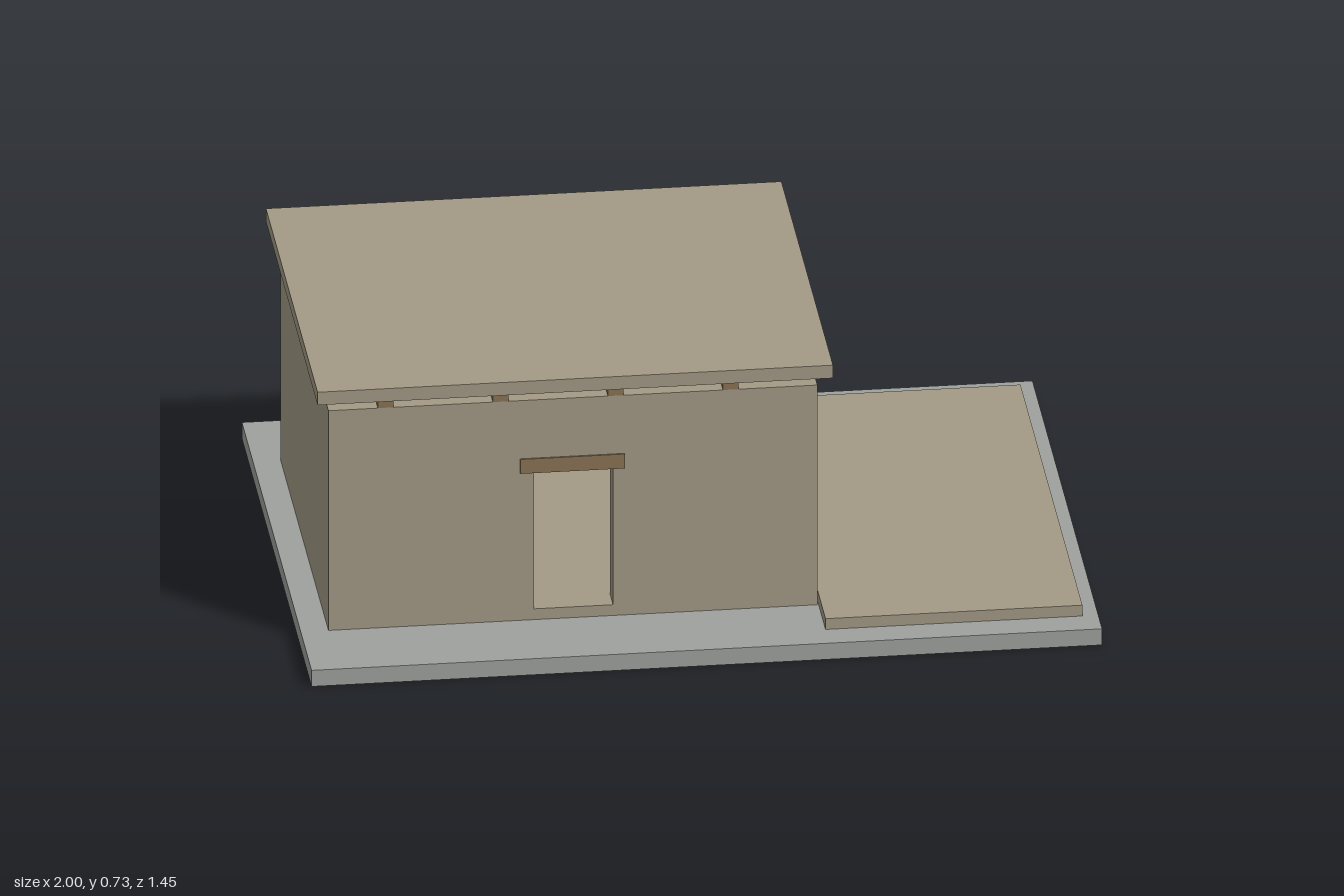
import * as THREE from 'three';

const mudbrick = new THREE.MeshStandardMaterial({ color: 0xa39a85 });
mudbrick.name = 'mudbrick';
const stone = new THREE.MeshStandardMaterial({ color: 0x9ea19d });
stone.name = 'stone';
const timber = new THREE.MeshStandardMaterial({ color: 0x8b7355 });
timber.name = 'timber';

// Box given by its minimum and maximum on each axis
function block(name, material, [x0, x1], [y0, y1], [z0, z1]) {
  const mesh = new THREE.Mesh(new THREE.BoxGeometry(x1 - x0, y1 - y0, z1 - z0), material);
  mesh.position.set((x0 + x1) / 2, (y0 + y1) / 2, (z0 + z1) / 2);
  mesh.name = name;
  return mesh;
}

export function createModel() {
  const model = new THREE.Group();
  model.name = 'mudbrickHouse';

  const left = -0.93, right = 0.307, depth = 0.5;
  const floorY = 0.075, wallTop = 0.657, beamTop = 0.692, t = 0.06;

  // Ground slabs
  model.add(block('foundation', stone, [-1, 1], [0, 0.045], [-0.725, 0.725]));
  model.add(block('courtyard', mudbrick, [0.31, 0.96], [0.045, floorY], [-0.645, 0.645]));
  model.add(block('houseFloor', mudbrick, [left, right], [0.045, floorY], [-depth, depth]));

  // Plain walls
  model.add(block('backWall', mudbrick, [left, right], [floorY, wallTop], [-depth, -depth + t]));
  for (const [name, x] of [['rightWall', left], ['leftWall', right - t]]) {
    model.add(block(name, mudbrick, [x, x + t], [floorY, wallTop], [-depth + t, depth - t]));
  }

  // Front wall, notched for the open doorway
  const doorL = -0.41, doorR = -0.21, doorTop = 0.455;
  const outline = new THREE.Shape([
    [left, floorY], [doorL, floorY], [doorL, doorTop], [doorR, doorTop],
    [doorR, floorY], [right, floorY], [right, wallTop], [left, wallTop],
  ].map(([x, y]) => new THREE.Vector2(x, y)));
  const front = new THREE.Mesh(
    new THREE.ExtrudeGeometry(outline, { depth: t, bevelEnabled: false }), mudbrick);
  front.position.z = depth - t;
  front.name = 'frontWall';
  model.add(front);

  // Timber lintel over the door
  model.add(block('lintel', timber, [-0.445, -0.18], [doorTop, 0.495], [depth - t - 0.004, depth + 0.004]));

  // Roof beams resting on the front and back walls
  for (let i = 0; i < 4; i++) {
    const x = -0.785 + i * 0.291;
    model.add(block('roofBeam', timber, [x - 0.02, x + 0.02], [wallTop, beamTop], [-depth, depth]));
  }

  // Flat overhanging roof
  model.add(block('roof', mudbrick, [-0.962, 0.342], [beamTop, 0.728], [-0.537, 0.537]));

  return model;
}
